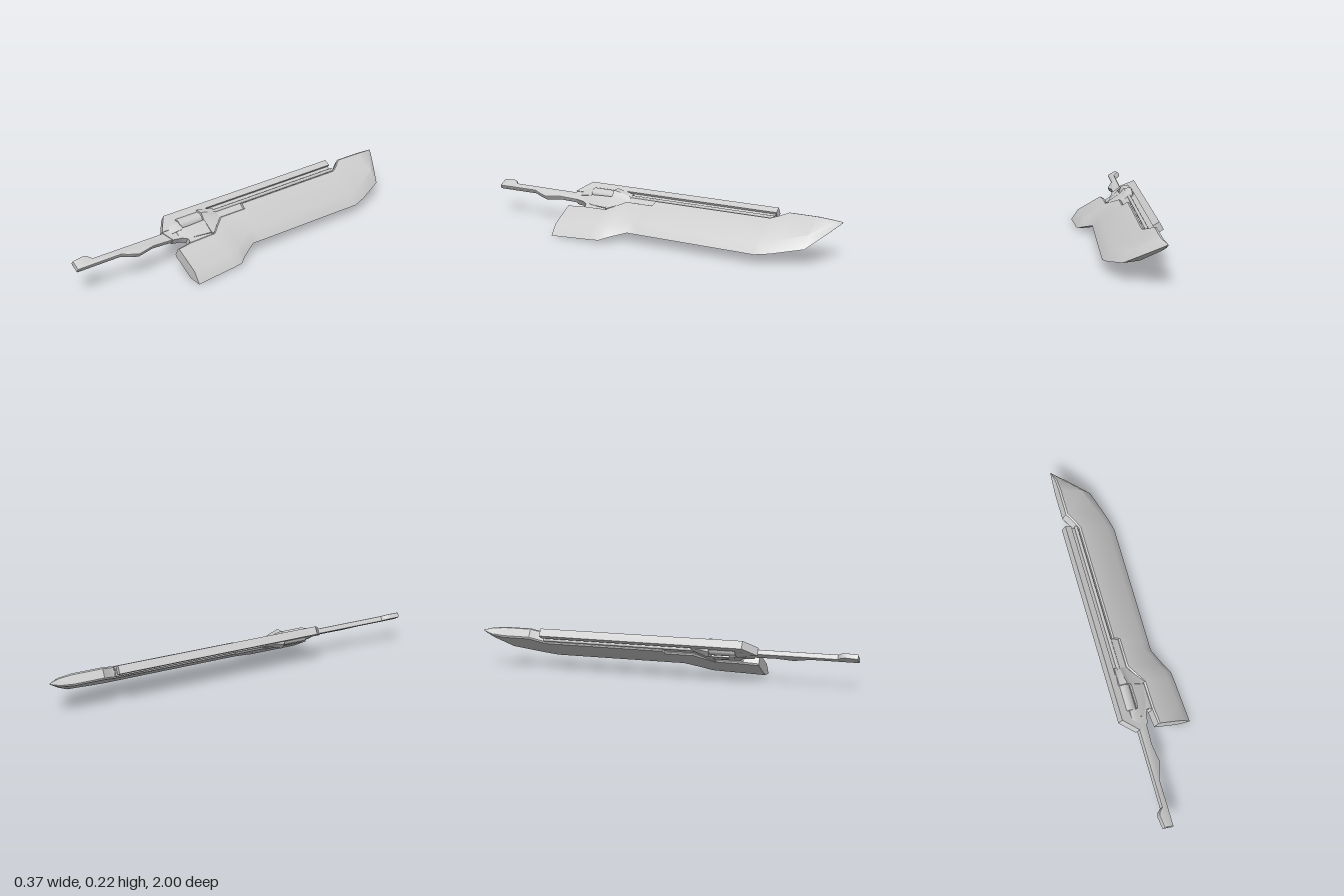
import * as THREE from 'three';
import { toCreasedNormals } from 'three/addons/utils/BufferGeometryUtils.js';

const mat = new THREE.MeshStandardMaterial({ color: 0xcccccc, side: THREE.DoubleSide });

function add(parent, name, geo, crease = 0.6) {
  const m = new THREE.Mesh(toCreasedNormals(geo, crease), mat);
  m.name = name;
  parent.add(m);
  return m;
}

// Skin a list of { z, ring } sections, rings counter-clockwise seen from +z
function loft(sections) {
  const n = sections[0].ring.length, pos = [], idx = [];
  for (const s of sections) for (const [x, y] of s.ring) pos.push(x, y, s.z);
  for (let k = 0; k < sections.length - 1; k++) {
    for (let i = 0; i < n; i++) {
      const a = k * n + i, b = k * n + (i + 1) % n;
      idx.push(a, b, b + n, a, b + n, a + n);
    }
  }
  const last = (sections.length - 1) * n;
  for (let i = 1; i < n - 1; i++) {
    idx.push(0, i + 1, i, last, last + i, last + i + 1);
  }
  const g = new THREE.BufferGeometry();
  g.setAttribute('position', new THREE.Float32BufferAttribute(pos, 3));
  g.setIndex(idx);
  return g;
}

// Ring symmetric about y = 0 from its upper points, listed left to right
function mirrorRing(upper) {
  return [...upper.map(([x, y]) => [x, -y]), ...upper.slice().reverse()];
}

// Flat part with an outline in x and z, centred on y = 0
function plate(outline, half, bevel = 0) {
  const shape = new THREE.Shape(outline.map(([x, z]) => new THREE.Vector2(x, z)));
  const g = new THREE.ExtrudeGeometry(shape, {
    depth: 2 * (half - bevel), bevelEnabled: bevel > 0, bevelThickness: bevel,
    bevelSize: bevel, bevelOffset: -bevel, bevelSegments: 2,
  });
  g.translate(0, 0, bevel - half);
  g.rotateX(Math.PI / 2);
  g.translate(0, bevel > 0 ? -bevel + bevel : 0, 0);
  g.computeBoundingBox();
  const b = g.boundingBox;
  g.translate(0, -(b.max.y + b.min.y) / 2, 0);
  return g;
}

export function createModel() {
  const root = new THREE.Group();
  root.name = 'bladedGun';
  const body = new THREE.Group();
  body.name = 'body';
  body.rotation.z = -Math.PI / 6;
  body.position.set(-0.174, 0.208, 0);
  root.add(body);

  // Broad blade: z, spine, cutting edge, half thickness, bevel width
  const bladeRows = [
    [-1, 0.018, 0.024, 0.002, 0.002],
    [-0.95, 0.024, 0.115, 0.022, 0.055],
    [-0.88, 0.024, 0.232, 0.03, 0.07],
    [-0.73, 0.024, 0.293, 0.03, 0.065],
    [-0.69, 0.055, 0.305, 0.03, 0.062],
    [-0.65, 0.08, 0.316, 0.03, 0.06],
    [0, 0.08, 0.311, 0.03, 0.06],
    [0.005, 0.115, 0.311, 0.03, 0.06],
    [0.07, 0.115, 0.31, 0.03, 0.06],
    [0.16, 0.115, 0.362, 0.03, 0.06],
    [0.2, 0.148, 0.392, 0.03, 0.06],
    [0.25, 0.19, 0.397, 0.03, 0.06],
    [0.4, 0.193, 0.407, 0.03, 0.06],
    [0.48, 0.203, 0.413, 0.03, 0.06],
  ];
  add(body, 'blade', loft(bladeRows.map(([z, u0, u1, h, bevel]) => ({
    z,
    ring: [[u0, -h * 0.75], [u0 + bevel * 0.12, -h], [u1 - bevel, -h], [u1, 0],
      [u1 - bevel, h], [u0 + bevel * 0.12, h], [u0, h * 0.75]],
  }))));

  // Barrel bar with a chamfered front, and the web joining it to the blade
  add(body, 'barrelBar', plate([
    [0, -0.66], [0.036, -0.66], [0.036, 0.2], [0.085, 0.2],
    [0.085, 0.5], [0.07, 0.49], [0, 0.44],
  ], 0.021), 0.4);
  add(body, 'barrelWeb', plate([
    [0.03, -0.655], [0.09, -0.655], [0.09, 0.2], [0.03, 0.2],
  ], 0.009), 0.4);

  // Slim rods along both faces
  for (const side of [-1, 1]) {
    const rod = new THREE.CylinderGeometry(0.009, 0.009, 0.85, 12);
    rod.rotateX(Math.PI / 2);
    rod.translate(0.067, side * 0.016, -0.235);
    add(body, 'rod', rod);
  }

  // Frame between grip and blade, with the finger curve
  add(body, 'frame', plate([
    [0.075, 0], [0.12, 0], [0.125, 0.16], [0.21, 0.24], [0.21, 0.42], [0.196, 0.405],
    [0.182, 0.392], [0.166, 0.395], [0.152, 0.42], [0.144, 0.47], [0.085, 0.5], [0.075, 0.4],
  ], 0.018), 0.5);

  // Raised housing sloping up to the chamber
  add(body, 'housing', loft([
    { z: 0.16, ring: mirrorRing([[0.045, 0.015], [0.07, 0.02], [0.09, 0.018], [0.11, 0.018]]) },
    { z: 0.25, ring: mirrorRing([[0.035, 0.032], [0.07, 0.05], [0.1, 0.036], [0.19, 0.031]]) },
    { z: 0.26, ring: mirrorRing([[0.035, 0.032], [0.07, 0.05], [0.1, 0.036], [0.185, 0.03]]) },
  ]), 0.45);

  // Rim beside the chamber and collar behind it
  add(body, 'chamberRim', loft([
    { z: 0.255, ring: mirrorRing([[0.103, 0.035], [0.125, 0.033], [0.18, 0.024]]) },
    { z: 0.36, ring: mirrorRing([[0.106, 0.033], [0.125, 0.03], [0.168, 0.02]]) },
    { z: 0.43, ring: mirrorRing([[0.1, 0.022], [0.125, 0.02], [0.14, 0.014]]) },
  ]), 0.6);
  add(body, 'chamberCollar', loft([
    { z: 0.39, ring: mirrorRing([[0.055, 0.026], [0.07, 0.032], [0.11, 0.028]]) },
    { z: 0.42, ring: mirrorRing([[0.055, 0.024], [0.07, 0.03], [0.11, 0.025]]) },
    { z: 0.47, ring: mirrorRing([[0.065, 0.016], [0.075, 0.018], [0.11, 0.016]]) },
  ]), 0.5);

  // Chamber drum
  const drum = new THREE.CylinderGeometry(0.036, 0.036, 0.135, 20);
  drum.rotateX(Math.PI / 2);
  drum.translate(0.07, 0, 0.328);
  add(body, 'chamberDrum', drum);

  // Long grip with a finger swell and a hooked pommel
  add(body, 'grip', plate([
    [0.085, 0.45], [0.142, 0.45], [0.136, 0.58], [0.152, 0.67], [0.136, 0.72], [0.119, 0.76],
    [0.119, 1], [0.066, 1], [0.057, 0.94], [0.065, 0.918], [0.085, 0.9], [0.087, 0.53],
  ], 0.014, 0.006), 0.7);

  return root;
}
